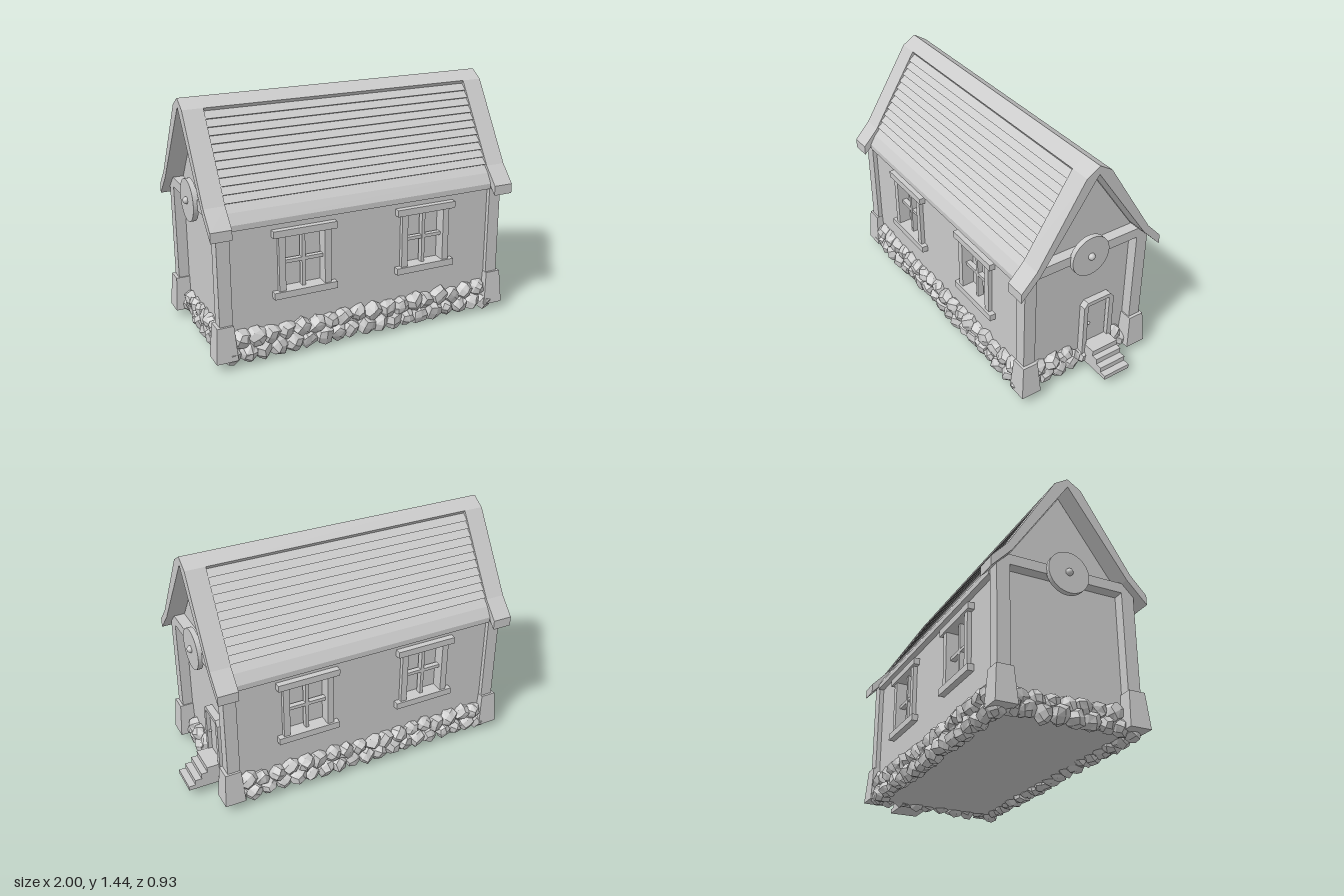
import * as THREE from 'three';

const mat = new THREE.MeshStandardMaterial({ color: 0xcccccc, flatShading: true });
const smoothMat = new THREE.MeshStandardMaterial({ color: 0xcccccc });

function add(parent, name, geo, x = 0, y = 0, z = 0, material = mat) {
  const m = new THREE.Mesh(geo, material);
  m.name = name;
  m.position.set(x, y, z);
  parent.add(m);
  return m;
}

// Box given by its limits
function box(parent, name, x0, x1, y0, y1, z0, z1) {
  return add(parent, name, new THREE.BoxGeometry(x1 - x0, y1 - y0, z1 - z0),
    (x0 + x1) / 2, (y0 + y1) / 2, (z0 + z1) / 2);
}

const toShape = pts => new THREE.Shape(pts.map(p => new THREE.Vector2(p[0], p[1])));

// Completes a half profile (running from outside to the middle) by mirroring
const mirror = pts => pts.concat(pts.slice().reverse().filter(p => p[0] !== 0).map(p => [-p[0], p[1]]));

// Extrudes a profile seen from the gable end (shape x = -z) from x0 to x1
function alongX(shape, x0, x1) {
  return new THREE.ExtrudeGeometry(shape, { depth: x1 - x0, bevelEnabled: false })
    .rotateY(Math.PI / 2).translate(x0, 0, 0);
}

let seed = 7;
function rnd() {
  seed = (seed * 16807) % 2147483647;
  return seed / 2147483647;
}

// Chunky faceted stone: a box pulled towards a sphere, corners nudged
function stoneGeometry(r) {
  const g = new THREE.BoxGeometry(2, 2, 2, 2, 2, 2);
  const p = g.attributes.position, v = new THREE.Vector3();
  const k = rnd() * 10;
  for (let i = 0; i < p.count; i++) {
    v.fromBufferAttribute(p, i);
    const len = v.length();
    const nudge = 1 + 0.1 * Math.sin(v.x * 3.1 + v.y * 5.3 + v.z * 7.7 + k);
    v.multiplyScalar(r * nudge * (0.85 / len + 0.1));
    p.setXYZ(i, v.x, v.y, v.z);
  }
  return g;
}

function stone(parent, x, y, z) {
  const s = add(parent, 'foundationStone', stoneGeometry(0.053 + rnd() * 0.01),
    x + (rnd() - 0.5) * 0.012, y + (rnd() - 0.5) * 0.016, z + (rnd() - 0.5) * 0.012);
  s.rotation.set(rnd() * 0.8, rnd() * 0.8, rnd() * 6);
}

function addWindow(parent, cx) {
  const w = new THREE.Group();
  w.name = 'window';
  w.position.x = cx;
  parent.add(w);
  box(w, 'windowLintel', -0.19, 0.19, 0.72, 0.76, 0.375, 0.422);
  box(w, 'windowSill', -0.19, 0.19, 0.36, 0.4, 0.375, 0.422);
  for (const s of [-1, 1])
    box(w, 'windowJamb', s * 0.1375 - 0.0195, s * 0.1375 + 0.0195, 0.4, 0.72, 0.375, 0.41);
  box(w, 'windowMullion', -0.01, 0.01, 0.4, 0.72, 0.35, 0.385);
  box(w, 'windowCrossbar', -0.119, 0.119, 0.55, 0.57, 0.352, 0.383);
}

// Long wall with two windows and two rows of stones
function longSide() {
  const g = new THREE.Group();
  g.name = 'longSide';
  const wall = toShape([[-0.83, 0.05], [0.83, 0.05], [0.83, 0.83], [-0.83, 0.83]]);
  for (const cx of [-0.3825, 0.3825])
    wall.holes.push(new THREE.Path([[-0.12, 0.4], [-0.12, 0.72], [0.12, 0.72], [0.12, 0.4]]
      .map(p => new THREE.Vector2(cx + p[0], p[1]))));
  add(g, 'longWall', new THREE.ExtrudeGeometry(wall, { depth: 0.05, bevelEnabled: false }), 0, 0, 0.335);
  for (const cx of [-0.3825, 0.3825]) addWindow(g, cx);
  for (let i = 0; i < 19; i++) {
    stone(g, -0.82 + i * 0.0911, 0.072, 0.385);
    if (i < 18) stone(g, -0.768 + i * 0.0904, 0.156, 0.383);
  }
  return g;
}

// Gable end: wall, timber frame, bargeboards, round plate and corner bases
function gableEnd(hasDoor) {
  const g = new THREE.Group();
  g.name = 'gableEnd';
  add(g, 'gableWall', alongX(toShape(mirror([[0.385, 0.05], [0.385, 0.83], [0, 1.38]])), 0.78, 0.83));

  const frame = [[0.412, 0.2], [0.412, 0.825], [0.342, 0.895], [-0.342, 0.895], [-0.412, 0.825],
    [-0.412, 0.2], [-0.337, 0.2], [-0.337, 0.836], [0.337, 0.836], [0.337, 0.2]];
  add(g, 'timberFrame', alongX(toShape(frame), 0.8175, 0.8925));

  const barge = [[0, 1.44], [0.08, 1.39], [0.37, 0.93], [0.465, 0.828], [0.465, 0.77], [0.345, 0.895],
    [0, 1.39], [-0.345, 0.895], [-0.465, 0.77], [-0.465, 0.828], [-0.37, 0.93], [-0.08, 1.39]];
  add(g, 'bargeboard', alongX(toShape(barge), 0.8175, 0.9375));

  const disc = new THREE.CylinderGeometry(0.122, 0.122, 0.03, 40).rotateZ(Math.PI / 2);
  add(g, 'roundPlate', disc, 0.9, 0.863, 0);
  add(g, 'plateKnob', new THREE.SphereGeometry(0.021, 16, 12), 0.917, 0.863, 0, smoothMat);

  for (const s of [-1, 1]) {
    const base = new THREE.CylinderGeometry(0.0475 * Math.SQRT2, 0.0625 * Math.SQRT2, 0.205, 4)
      .rotateY(Math.PI / 4);
    add(g, 'cornerBase', base, 0.8635, 0.1575, s * 0.3775);
  }
  for (let i = 0; i < 8; i++) {
    const z = -0.315 + i * 0.09;
    if (!(hasDoor && z > -0.25 && z < 0)) {
      stone(g, 0.832, 0.082, z);
      if (i < 7) stone(g, 0.828, 0.138, z + 0.045);
    } else stone(g, 0.83, 0.085, z);
  }
  return g;
}

// Door with chamfered surround, knob and steps
function entrance() {
  const g = new THREE.Group();
  g.name = 'entrance';
  const surround = toShape([[0.015, 0.05], [0.225, 0.05], [0.225, 0.455], [0.2, 0.485], [0.04, 0.485], [0.015, 0.455]]);
  surround.holes.push(new THREE.Path([[0.043, 0.18], [0.043, 0.46], [0.193, 0.46], [0.193, 0.18]]
    .map(p => new THREE.Vector2(p[0], p[1]))));
  add(g, 'doorSurround', alongX(surround, 0.82, 0.872));
  box(g, 'door', 0.82, 0.85, 0.182, 0.452, -0.188, -0.048);
  add(g, 'doorKnob', new THREE.SphereGeometry(0.009, 12, 8), 0.859, 0.32, -0.062, smoothMat);
  [[0.945, 0.18], [0.982, 0.147], [1.022, 0.113], [1.0625, 0.082]].forEach(([x, y], i, a) =>
    box(g, 'step', i ? a[i - 1][0] : 0.83, x, 0.055, y, -0.21, -0.035));
  return g;
}

// Overlapping roof boards as one saw-tooth profile, with the ridge cap
function roof() {
  const g = new THREE.Group();
  g.name = 'roof';
  const half = [[0.385, 0.8], [0.42, 0.8], [0.42, 0.832], [0.385, 0.89]];
  const n = 12, a = [0.372, 0.89], b = [0.07, 1.37];
  for (let i = 0; i < n; i++) {
    const at = t => [a[0] + (b[0] - a[0]) * t, a[1] + (b[1] - a[1]) * t];
    const lo = at(i / n), hi = at((i + 1) / n);
    if (i) half.push([lo[0] + 0.014, lo[1] + 0.007]);
    half.push(hi);
  }
  half.push([0, 1.41]);
  add(g, 'roofBoards', alongX(toShape(mirror(half)), -0.8175, 0.8175));
  const cap = mirror([[0.065, 1.365], [0.08, 1.39], [0, 1.44]]);
  add(g, 'ridgeCap', alongX(toShape(cap), -0.8175, 0.8175));
  return g;
}

export function createModel() {
  const model = new THREE.Group();
  model.name = 'house';
  const house = new THREE.Group();
  house.name = 'building';
  house.position.x = -0.0625;
  model.add(house);

  box(house, 'core', -0.78, 0.78, 0.05, 0.82, -0.335, 0.335);
  for (const turn of [0, Math.PI]) {
    const side = longSide(), end = gableEnd(turn === 0);
    side.rotation.y = end.rotation.y = turn;
    house.add(side, end);
  }
  house.add(roof(), entrance());
  return model;
}
